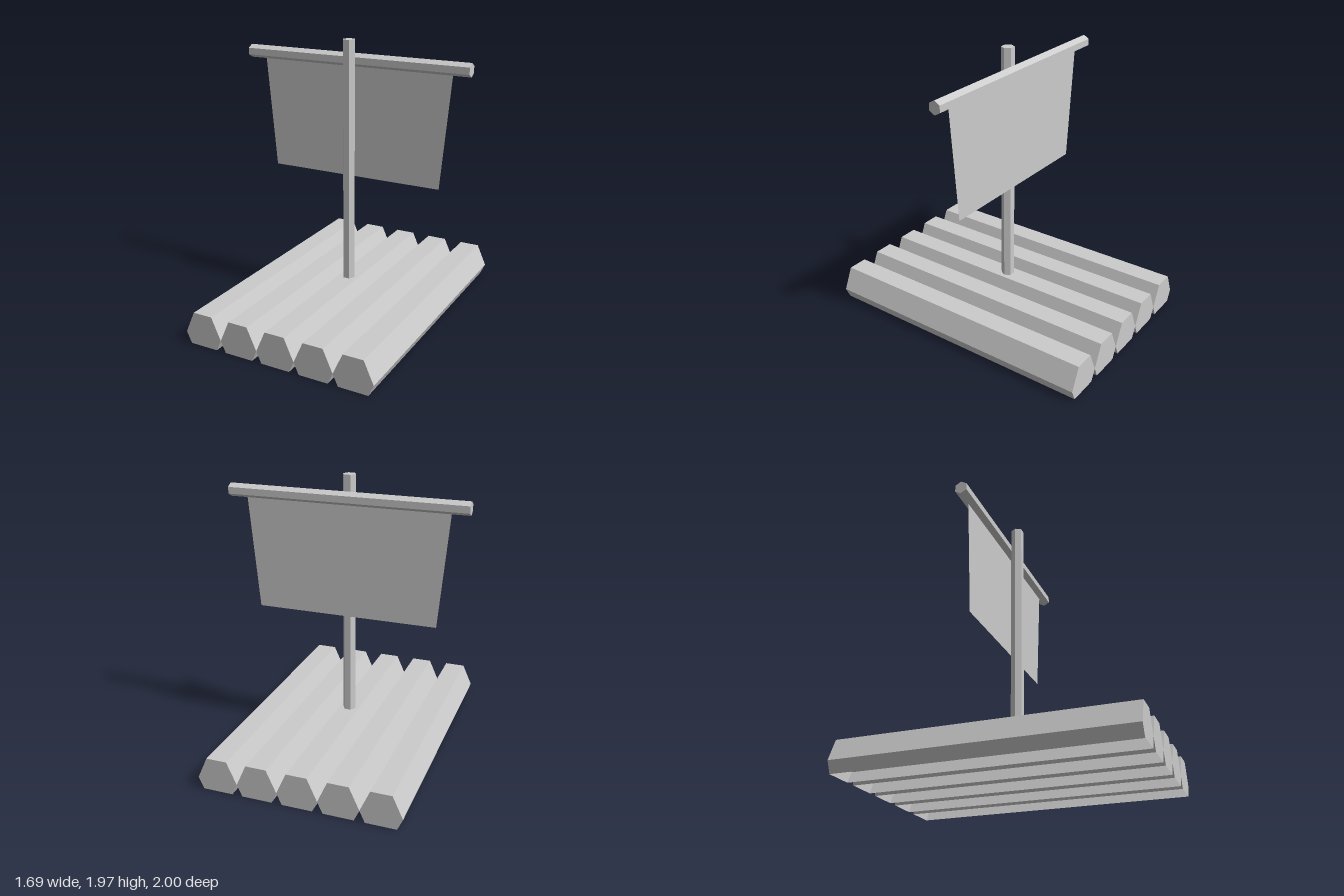
import * as THREE from 'three';

const material = new THREE.MeshStandardMaterial({
  color: 0xcccccc, flatShading: true, side: THREE.DoubleSide,
});

// Half-submerged log: six-cornered section along z, open underneath
function logGeometry(length) {
  const section = [
    [0.105, 0], [0.1415, 0.08], [0.072, 0.235],
    [-0.072, 0.235], [-0.1415, 0.08], [-0.105, 0],
  ];
  const h = length / 2;
  const positions = [];
  const tri = (a, b, c) => positions.push(...a, ...b, ...c);
  const at = (i, z) => [...section[i], z];
  // long sides
  for (let i = 0; i < 5; i++) {
    tri(at(i, h), at(i, -h), at(i + 1, -h));
    tri(at(i, h), at(i + 1, -h), at(i + 1, h));
  }
  // end caps
  for (let i = 1; i < 5; i++) {
    tri(at(0, h), at(i, h), at(i + 1, h));
    tri(at(0, -h), at(i + 1, -h), at(i, -h));
  }
  const geometry = new THREE.BufferGeometry();
  geometry.setAttribute('position', new THREE.Float32BufferAttribute(positions, 3));
  geometry.computeVertexNormals();
  return geometry;
}

// Six-sided pole standing on y, with corners at +x and -x
function poleGeometry(radius, length) {
  return new THREE.CylinderGeometry(radius, radius, length, 6, 1, false, Math.PI / 6);
}

export function createModel() {
  const group = new THREE.Group();
  group.name = 'sailingRaft';

  const add = (name, geometry, x = 0, y = 0, z = 0) => {
    const mesh = new THREE.Mesh(geometry, material);
    mesh.name = name;
    mesh.position.set(x, y, z);
    group.add(mesh);
    return mesh;
  };

  // Deck of five logs laid side by side
  const log = logGeometry(2);
  for (let i = -2; i <= 2; i++) add(`log${i + 3}`, log, i * 0.283);

  // Mast
  add('mast', poleGeometry(0.046, 1.735), 0, 1.1025, 0);

  // Yard, fixed behind the mast
  const yard = poleGeometry(0.047, 1.69).rotateZ(Math.PI / 2);
  add('yard', yard, 0, 1.82, -0.08);

  // Tapered sail hanging from the yard
  const sail = new THREE.Shape([
    new THREE.Vector2(-0.648, 0.985),
    new THREE.Vector2(0.648, 0.985),
    new THREE.Vector2(0.72, 1.78),
    new THREE.Vector2(-0.72, 1.78),
  ]);
  add('sail', new THREE.ShapeGeometry(sail), 0, 0, -0.08);

  return group;
}
